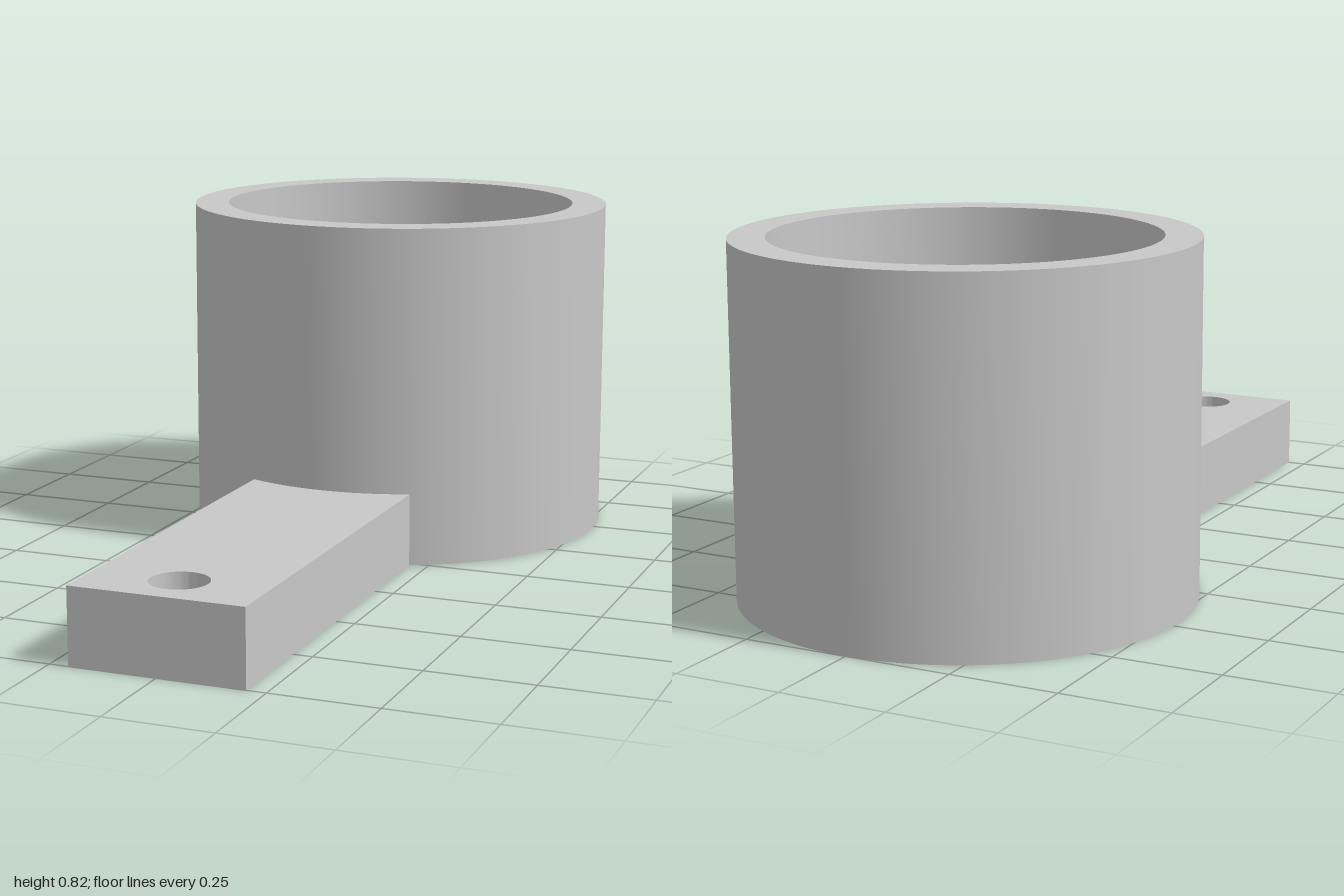
import * as THREE from 'three';
import { toCreasedNormals } from 'three/addons/utils/BufferGeometryUtils.js';

export function createModel() {
  const model = new THREE.Group();
  model.name = 'measuringScoop';
  const grey = new THREE.MeshStandardMaterial({ color: 0xc8c8c8 });
  grey.name = 'light grey';

  const add = (name, geometry) => {
    const mesh = new THREE.Mesh(toCreasedNormals(geometry, Math.PI / 6), grey);
    mesh.name = name;
    model.add(mesh);
    return mesh;
  };

  // Cup: closed floor, thick wall and flat rim
  const outer = 0.528, inner = 0.443, height = 0.825, floor = 0.088;
  const profile = [
    [0, 0], [outer, 0], [outer, height], [inner, height], [inner, floor], [0, floor],
  ].map(([x, y]) => new THREE.Vector2(x, y));
  add('cup', new THREE.LatheGeometry(profile, 96)).position.z = -0.472;

  // Handle: flat bar with a hanging hole, its root reaching through the wall into the cup
  const halfWidth = 0.205, thickness = 0.178, root = -0.3, tip = 1;
  const bar = new THREE.Shape();
  bar.moveTo(-halfWidth, root);
  bar.lineTo(halfWidth, root);
  bar.lineTo(halfWidth, tip);
  bar.lineTo(-halfWidth, tip);
  bar.closePath();
  const hole = new THREE.Path();
  hole.absarc(0, 0.88, 0.067, 0, Math.PI * 2, true);
  bar.holes.push(hole);
  const handle = new THREE.ExtrudeGeometry(bar, {
    depth: thickness, bevelEnabled: false, curveSegments: 32,
  });
  handle.rotateX(Math.PI / 2);
  add('handle', handle).position.y = thickness;

  return model;
}
